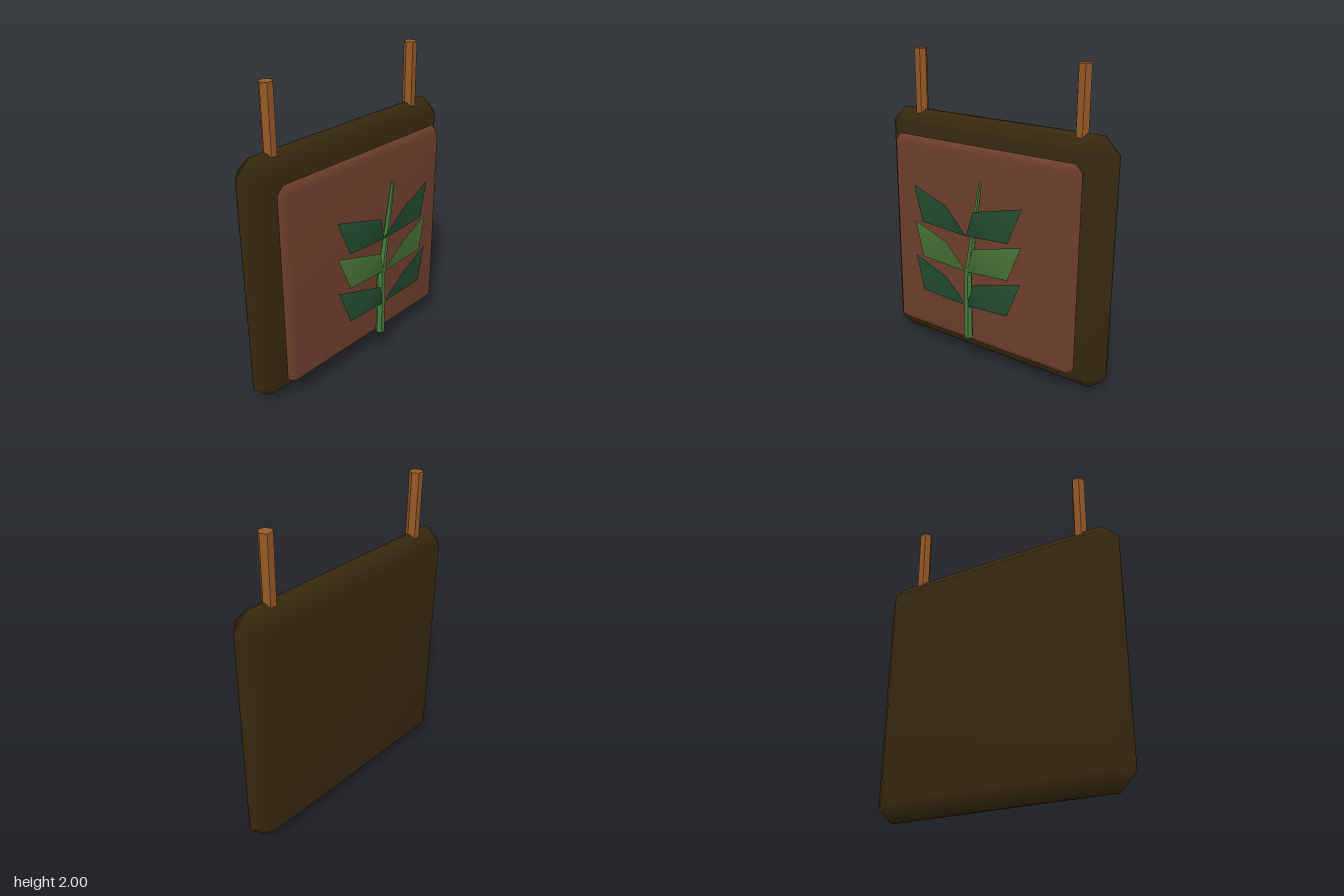
import * as THREE from 'three';
import { mergeVertices } from 'three/addons/utils/BufferGeometryUtils.js';
import { ConvexGeometry } from 'three/addons/geometries/ConvexGeometry.js';

function material(name, color, extra = {}) {
  const m = new THREE.MeshStandardMaterial({ color, ...extra });
  m.name = name;
  return m;
}

// Box with a single chamfer on every edge and softened normals
function chamferedBox(w, h, d, c) {
  const points = [];
  for (const sx of [-1, 1]) for (const sy of [-1, 1]) for (const sz of [-1, 1]) {
    const [x, y, z] = [w / 2, h / 2, d / 2];
    points.push(
      new THREE.Vector3(sx * x, sy * (y - c), sz * (z - c)),
      new THREE.Vector3(sx * (x - c), sy * y, sz * (z - c)),
      new THREE.Vector3(sx * (x - c), sy * (y - c), sz * z));
  }
  const hull = new ConvexGeometry(points);
  hull.deleteAttribute('normal');
  const geometry = mergeVertices(hull, 1e-4);
  geometry.computeVertexNormals();
  return geometry;
}

// Six-sided rod between two points
function rod(from, to, r0, r1) {
  const a = new THREE.Vector3(...from), b = new THREE.Vector3(...to);
  const dir = b.clone().sub(a);
  const geometry = new THREE.CylinderGeometry(r1, r0, dir.length(), 6).rotateY(Math.PI / 6);
  geometry.applyQuaternion(new THREE.Quaternion().setFromUnitVectors(
    new THREE.Vector3(0, 1, 0), dir.normalize()));
  const mid = a.add(b).multiplyScalar(0.5);
  return geometry.translate(mid.x, mid.y, mid.z);
}

// Four-cornered leaf, slightly folded; side is 1 or -1
function leaf(side, y) {
  const corners = [[0, 0, 0.18], [0.322, 0.035, 0.205], [0.4, 0.255, 0.183], [0.1, 0.195, 0.245]];
  const geometry = new THREE.BufferGeometry();
  geometry.setAttribute('position', new THREE.Float32BufferAttribute(
    corners.flatMap(([px, py, pz]) => [side * px, y + py, pz]), 3));
  geometry.setIndex(side > 0 ? [0, 1, 3, 1, 2, 3] : [0, 3, 1, 1, 3, 2]);
  geometry.computeVertexNormals();
  return geometry;
}

export function createModel() {
  const model = new THREE.Group();
  model.name = 'hangingSign';
  const darkWood = material('dark wood', 0x38290f);
  const redWood = material('red brown wood', 0x6e3f2c);
  const lightWood = material('light wood', 0x965a26, { flatShading: true });
  const stemGreen = material('stem green', 0x467a3c, { flatShading: true });
  const darkLeaf = material('dark leaf green', 0x245031, { side: THREE.DoubleSide });
  const lightLeaf = material('light leaf green', 0x4a7638, { side: THREE.DoubleSide });

  const add = (name, geometry, mat) => {
    const mesh = new THREE.Mesh(geometry, mat);
    mesh.name = name;
    model.add(mesh);
    return mesh;
  };

  // Board and raised front panel
  add('board', chamferedBox(1.664, 1.61, 0.22, 0.099), darkWood).position.set(0, 0.805, -0.136);
  add('panel', chamferedBox(1.38, 1.33, 0.094, 0.045), redWood).position.set(0, 0.805, 0.021);

  // Hanging rods
  for (const side of [1, -1]) {
    add(side > 0 ? 'leftHanger' : 'rightHanger',
      rod([side * 0.592, 1.5, -0.136], [side * 0.592, 2, -0.136], 0.042, 0.042), lightWood);
  }

  // Stem in two tapering lengths
  add('lowerStem', rod([0, 0.25, 0.161], [0, 0.685, 0.161], 0.03, 0.026), stemGreen);
  add('upperStem', rod([0, 0.68, 0.161], [0.094, 1.29, 0.163], 0.026, 0.011), stemGreen);

  // Three pairs of leaves
  [0.475, 0.71, 0.945].forEach((y, i) => {
    for (const side of [1, -1]) {
      add(`${side > 0 ? 'left' : 'right'}Leaf${i + 1}`, leaf(side, y), i === 1 ? lightLeaf : darkLeaf);
    }
  });
  return model;
}
